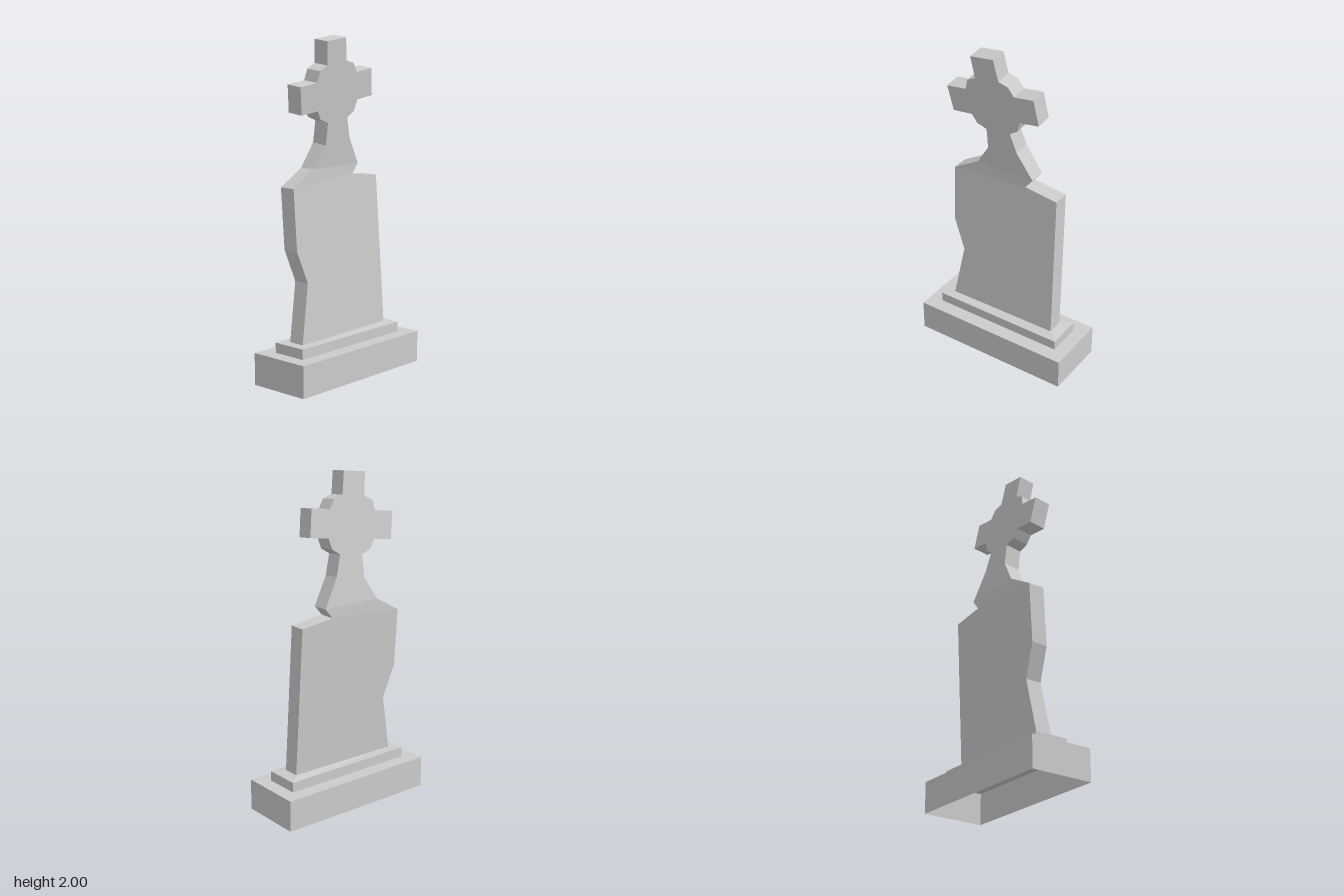
import * as THREE from 'three';

const stone = new THREE.MeshStandardMaterial({ color: 0xcccccc, flatShading: true, side: THREE.DoubleSide });

// Flat-shaded mesh from points and triangle indices
function facetMesh(name, points, index) {
  const geo = new THREE.BufferGeometry();
  geo.setAttribute('position', new THREE.Float32BufferAttribute(points.flat(), 3));
  geo.setIndex(index);
  const flat = geo.toNonIndexed();
  flat.computeVertexNormals();
  const mesh = new THREE.Mesh(flat, stone);
  mesh.name = name;
  return mesh;
}

// Four corners of a level rectangle, counter-clockwise from the front left
const corners = (x0, x1, y, z) => [[x0, y, z], [x1, y, z], [x1, y, -z], [x0, y, -z]];

// Stack of four-cornered rings, joined by walls; optional lid, open below
function steppedBlock(name, rings, lid) {
  const index = [];
  for (let r = 0; r < rings.length - 1; r++) {
    for (let i = 0; i < 4; i++) {
      const a = r * 4 + i, b = r * 4 + (i + 1) % 4;
      index.push(a, b, b + 4, a, b + 4, a + 4);
    }
  }
  const t = (rings.length - 1) * 4;
  if (lid) index.push(t, t + 1, t + 2, t, t + 2, t + 3);
  return facetMesh(name, rings.flat(), index);
}

// Leaning, chipped slab and cross: outline counter-clockwise from the foot
const outline = [
  [-0.36, 0.252], [0.353, 0.26],
  [0.337, 1.16], [0.124, 1.185],                                       // right shoulder
  [0.173, 1.245], [0.077, 1.41], [0.04, 1.532],                        // neck
  [0.094, 1.567], [0.114, 1.632], [0.24, 1.652], [0.216, 1.812],       // left arm
  [0.088, 1.793], [0.053, 1.845], [-0.009, 1.862],
  [-0.032, 1.994], [-0.184, 1.973],                                    // top arm
  [-0.166, 1.838], [-0.222, 1.808], [-0.24, 1.743],
  [-0.37, 1.725], [-0.343, 1.566],                                     // right arm
  [-0.214, 1.582], [-0.183, 1.531], [-0.12, 1.51],
  [-0.122, 1.38], [-0.206, 1.245],                                     // neck
  [-0.373, 1.148], [-0.369, 0.792], [-0.295, 0.598],                   // shoulder and chipped edge
];

// Depth of the front face: leans back up to the bend, then forward
function frontZ(y) {
  if (y < 1.2) return THREE.MathUtils.mapLinear(y, 0.255, 1.17, 0.05, -0.004);
  return THREE.MathUtils.mapLinear(y, 1.245, 1.99, -0.005, 0.085);
}

function createHeadstone() {
  const n = outline.length;
  const tilt = y => (y > 1.3 ? 0.006 : 0);
  const front = outline.map(([x, y]) => [x, y - tilt(y), frontZ(y)]);
  const back = outline.map(([x, y]) => [x, y + tilt(y), frontZ(y) - 0.1]);
  const index = [];
  // Faces of the body, the bend and the cross
  const range = (a, b) => Array.from({ length: b - a + 1 }, (_, i) => a + i);
  const sections = [[0, 1, 2, 3, 26, 27, 28], [3, 4, 25, 26], range(4, 25)];
  for (const ids of sections) {
    const contour = ids.map(i => new THREE.Vector2(...outline[i]));
    for (const [a, b, c] of THREE.ShapeUtils.triangulateShape(contour, [])) {
      index.push(ids[a], ids[b], ids[c], ids[a] + n, ids[c] + n, ids[b] + n);
    }
  }
  // Edge walls, skipping the foot
  for (let i = 1; i < n; i++) {
    const j = (i + 1) % n;
    index.push(i, i + n, j + n, i, j + n, j);
  }
  return facetMesh('headstone', [...front, ...back], index);
}

export function createModel() {
  const group = new THREE.Group();
  group.name = 'gravestone';

  // Base block, open underneath
  group.add(steppedBlock('base', [
    corners(-0.505, 0.505, 0, 0.195),
    corners(-0.505, 0.505, 0.19, 0.195),
  ], true));

  // Plinth with a faintly sloping top that meets the slab
  const slope = corners(-0.36, 0.353, 0.252, 0.05);
  slope[1][1] = slope[2][1] = 0.26;
  group.add(steppedBlock('plinth', [
    corners(-0.42, 0.42, 0.19, 0.108),
    corners(-0.42, 0.42, 0.25, 0.108),
    slope,
  ], false));

  group.add(createHeadstone());
  return group;
}
